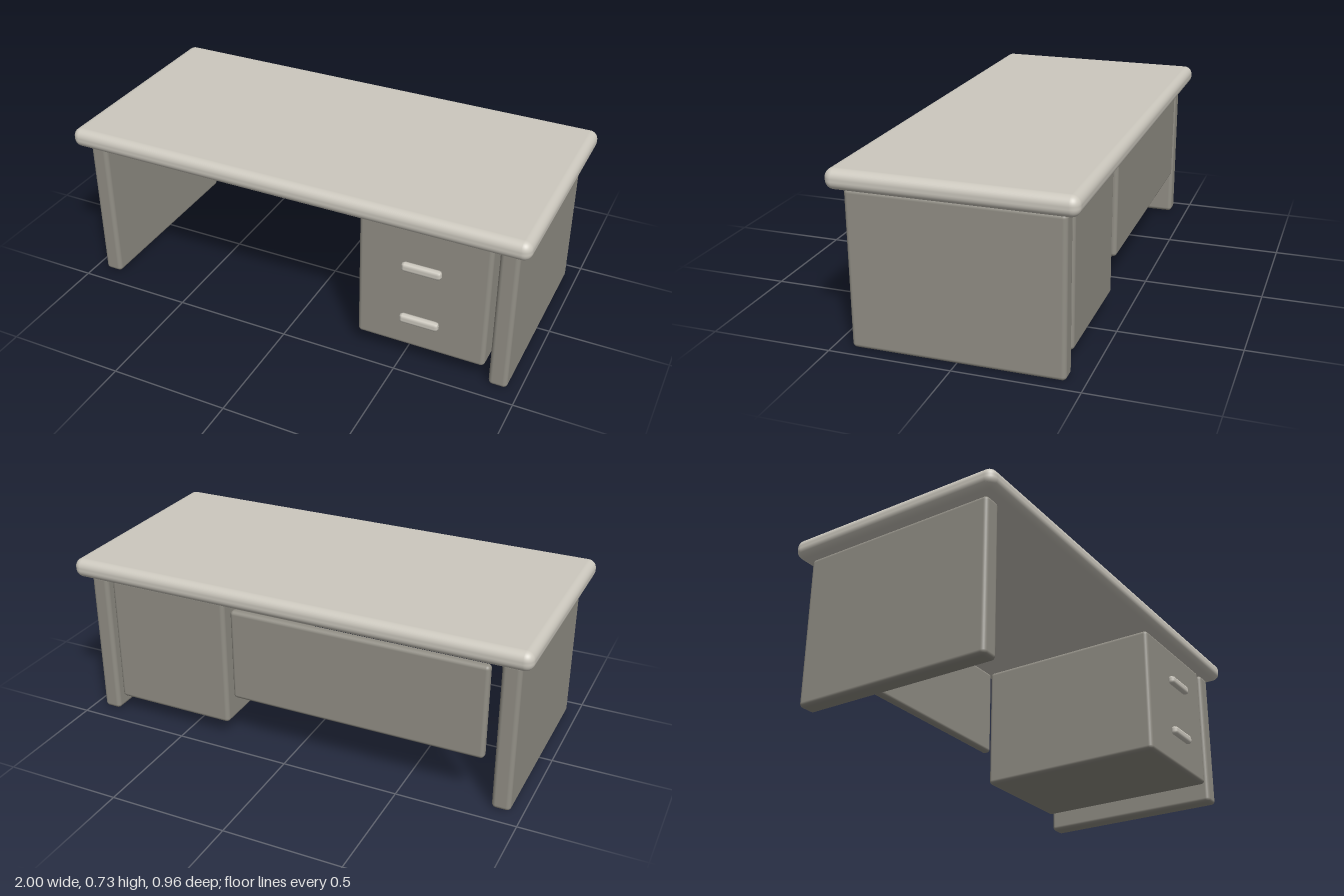
import * as THREE from 'three';
import { RoundedBoxGeometry } from 'three/addons/geometries/RoundedBoxGeometry.js';

export function createModel() {
  const desk = new THREE.Group();
  desk.name = 'desk';
  const light = new THREE.MeshStandardMaterial({ color: 0xccc8be });
  const dark = new THREE.MeshStandardMaterial({ color: 0x928f86 });

  // Rounded block given by its minimum and maximum corners
  function block(name, material, min, max, radius, segments = 4) {
    const size = max.map((v, i) => v - min[i]);
    const mesh = new THREE.Mesh(new RoundedBoxGeometry(...size, segments, radius), material);
    mesh.position.set(...max.map((v, i) => (v + min[i]) / 2));
    mesh.name = name;
    desk.add(mesh);
    return mesh;
  }

  // Top slab with soft edges
  block('desktop', light, [-1, 0.65, -0.482], [1, 0.732, 0.482], 0.036, 5);

  // Slab legs at both ends
  for (const side of [-1, 1]) {
    const leg = block(side > 0 ? 'leftLeg' : 'rightLeg', dark,
      [-0.039, 0.002, -0.427], [0.039, 0.648, 0.427], 0.018);
    leg.position.x = side * 0.911;
  }

  // Drawer cabinet hanging beside the left leg
  block('drawerCabinet', dark, [0.305, 0.075, -0.425], [0.85, 0.648, 0.425], 0.018);

  // Drawer handles, coarsely bevelled
  for (const [name, y] of [['upperHandle', 0.472], ['lowerHandle', 0.224]]) {
    block(name, light, [0.494, y - 0.02, 0.427], [0.661, y + 0.02, 0.458], 0.015, 1);
  }

  // Modesty panel across the back
  block('modestyPanel', dark, [-0.83, 0.215, -0.432], [0.272, 0.62, -0.392], 0.016, 3);

  return desk;
}
